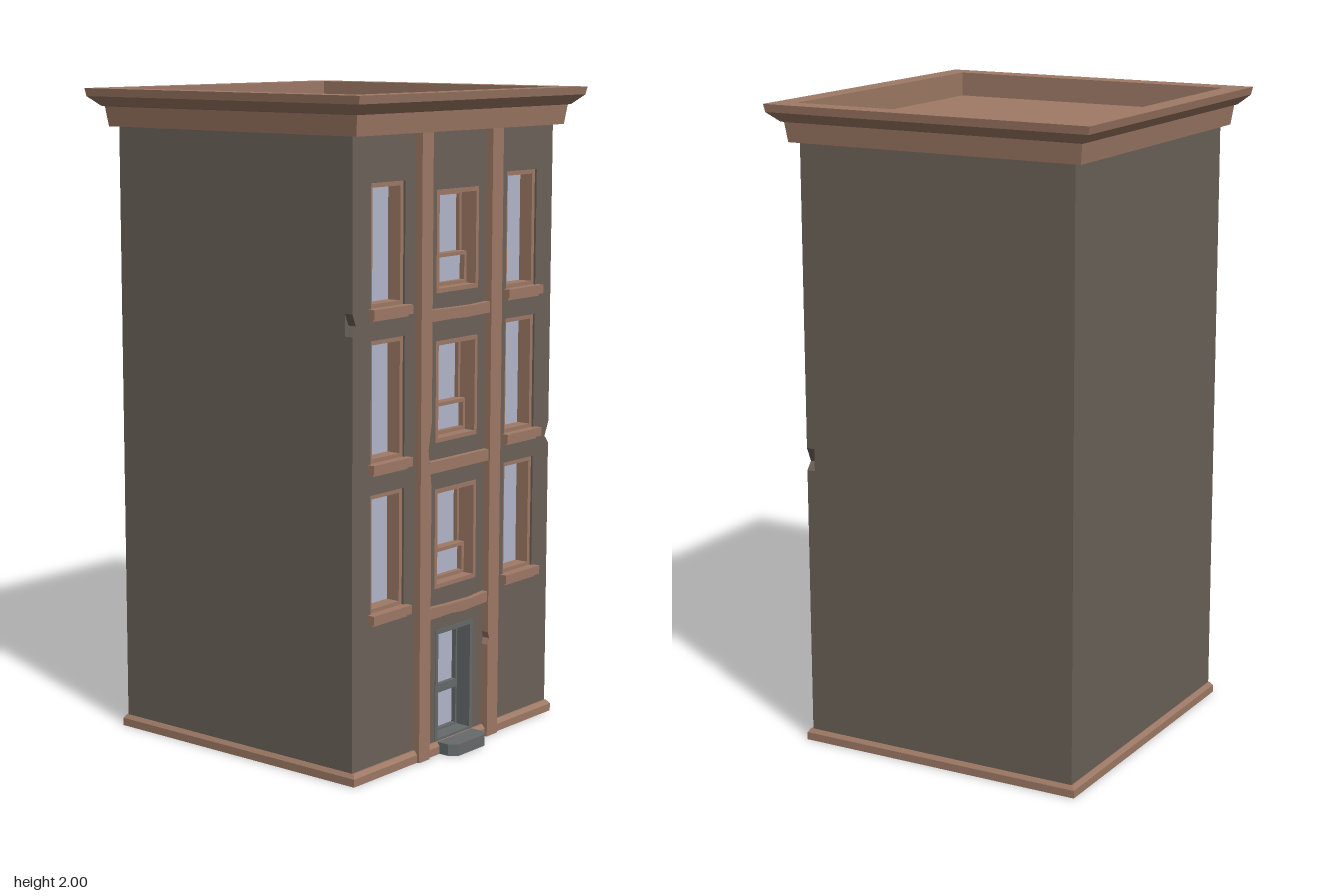
import * as THREE from 'three';

const mat = (color) => new THREE.MeshStandardMaterial({ color });
const wallMat = mat(0x6b6259), trimMat = mat(0x9f7a66);
const glassMat = mat(0xb2b7ca), doorMat = mat(0x666a6b);

const FRONT = 0.457, BACK = -0.46, HALF = 0.488;

function add(group, name, geometry, material) {
  const mesh = new THREE.Mesh(geometry, material);
  mesh.name = name;
  group.add(mesh);
  return mesh;
}

// Box given by its limits on each axis
function box(x0, x1, y0, y1, z0, z1) {
  return new THREE.BoxGeometry(x1 - x0, y1 - y0, z1 - z0)
    .translate((x0 + x1) / 2, (y0 + y1) / 2, (z0 + z1) / 2);
}

const polygon = (points) => points.map(([x, y]) => new THREE.Vector2(x, y));
const rect = (x0, x1, y0, y1) => polygon([[x0, y0], [x1, y0], [x1, y1], [x0, y1]]);

// Flat plate between z0 and z1, with optional holes
function plate(outline, holes, z0, z1) {
  const shape = new THREE.Shape(outline);
  shape.holes = holes.map((h) => new THREE.Path(h));
  return new THREE.ExtrudeGeometry(shape, { depth: z1 - z0, bevelEnabled: false }).translate(0, 0, z0);
}

// Rectangular picture-frame ring of border t
function ring(x0, x1, y0, y1, t, z0, z1) {
  return plate(rect(x0, x1, y0, y1), [rect(x0 + t, x1 - t, y0 + t, y1 - t)], z0, z1);
}

// Moulding swept around the rectangular plan: profile of [half x, half z, y]
function moulding(profile) {
  const corners = [[1, 1], [1, -1], [-1, -1], [-1, 1]];
  const pos = [];
  const at = ([hx, hz, y], [sx, sz]) => [hx * sx, y, hz * sz];
  for (let i = 0; i < profile.length - 1; i++) {
    for (let k = 0; k < 4; k++) {
      const c = corners[k], d = corners[(k + 1) % 4];
      const a = at(profile[i], c), b = at(profile[i], d);
      const e = at(profile[i + 1], d), f = at(profile[i + 1], c);
      pos.push(...a, ...b, ...e, ...a, ...e, ...f);
    }
  }
  const g = new THREE.BufferGeometry();
  g.setAttribute('position', new THREE.Float32BufferAttribute(pos, 3));
  g.computeVertexNormals();
  return g;
}

// Tall side window with a frame, glass and projecting sill
function sideWindow(cx, y0, y1) {
  const g = new THREE.Group();
  g.name = 'sideWindow';
  add(g, 'frame', ring(cx - 0.078, cx + 0.078, y0, y1, 0.014, 0.4, 0.45), trimMat);
  add(g, 'glass', box(cx - 0.07, cx + 0.07, y0 + 0.005, y1 - 0.005, 0.39, 0.405), glassMat);
  add(g, 'sill', box(cx - 0.09, cx + 0.09, y0 - 0.025, y0 + 0.002, 0.4, 0.48), trimMat);
  add(g, 'sillUnderside', box(cx - 0.08, cx + 0.08, y0 - 0.033, y0 - 0.025, 0.44, 0.468), trimMat);
  return g;
}

// Central sash window: deep frame, upper sash set behind the lower one
function sashWindow(y0, y1) {
  const g = new THREE.Group(), x = 0.103, mid = y0 + 0.105;
  g.name = 'sashWindow';
  add(g, 'frame', ring(-x, x, y0, y1, 0.013, 0.38, 0.46), trimMat);
  add(g, 'upperSash', ring(-0.09, 0.09, mid - 0.01, y1 - 0.013, 0.01, 0.38, 0.405), trimMat);
  add(g, 'lowerSash', ring(-0.09, 0.09, y0 + 0.013, mid + 0.005, 0.011, 0.385, 0.425), trimMat);
  add(g, 'upperGlass', box(-0.085, 0.085, mid - 0.005, y1 - 0.018, 0.378, 0.392), glassMat);
  add(g, 'lowerGlass', box(-0.085, 0.085, y0 + 0.018, mid, 0.39, 0.408), glassMat);
  return g;
}

export function createModel() {
  const model = new THREE.Group();
  model.name = 'building';
  const sideX = 0.327;
  const sideRows = [[0.495, 0.85], [0.94, 1.3], [1.39, 1.75]];
  const sashRows = [[0.515, 0.82], [0.962, 1.267], [1.41, 1.714]];

  // Openings in the front wall
  const holes = [rect(-0.094, 0.094, 0.03, 0.385)];
  for (const [y0, y1] of sideRows)
    for (const s of [-1, 1]) holes.push(rect(s * sideX - 0.078, s * sideX + 0.078, y0, y1));
  for (const [y0, y1] of sashRows) holes.push(rect(-0.103, 0.103, y0, y1));

  // Walls: solid rear, pierced front, and a thin face with chipped corners
  add(model, 'mainWalls', box(-HALF, HALF, 0.02, 1.92, BACK, 0.377), wallMat);
  add(model, 'frontWall', plate(rect(-HALF, HALF, 0.02, 1.9), holes, 0.377, 0.43), wallMat);
  const chipped = polygon([
    [-HALF, 0.02], [HALF, 0.02], [HALF, 0.88], [HALF - 0.02, 0.905], [HALF, 0.95],
    [HALF, 1.9], [-HALF, 1.9], [-HALF, 1.385], [-HALF + 0.015, 1.35], [-HALF, 1.32],
  ]);
  add(model, 'frontWallFace', plate(chipped, holes, 0.43, FRONT), wallMat);

  // Windows
  for (const [y0, y1] of sideRows)
    for (const s of [-1, 1]) model.add(sideWindow(s * sideX, y0, y1));
  for (const [y0, y1] of sashRows) model.add(sashWindow(y0, y1));

  // Pilasters, each worn on its inner edge
  add(model, 'rightPilaster', plate(polygon([
    [-0.2, 0], [-0.148, 0], [-0.148, 0.84], [-0.163, 0.95], [-0.148, 1.035], [-0.148, 1.9], [-0.2, 1.9],
  ]), [], 0.44, 0.481), trimMat);
  add(model, 'leftPilaster', plate(polygon([
    [0.143, 0], [0.197, 0], [0.197, 1.9], [0.143, 1.9], [0.143, 0.335], [0.15, 0.315], [0.143, 0.295],
  ]), [], 0.44, 0.481), trimMat);

  // Storey bands between the pilasters, slightly uneven
  [[0.43, 0.006], [0.876, 0], [1.33, 0.003]].forEach(([y, w]) => {
    add(model, 'storeyBand', plate(polygon([
      [-0.15, y], [-0.04, y + w * 0.3], [0.02, y - w * 0.5], [0.145, y + w * 0.4],
      [0.145, y + 0.035], [0.07, y + 0.035 - w], [-0.05, y + 0.035 - w * 0.6], [-0.15, y + 0.036],
    ]), [], 0.44, 0.476), trimMat);
  });

  // Door with two glass panels
  const door = new THREE.Group();
  door.name = 'door';
  add(door, 'doorFrame', ring(-0.094, 0.094, 0.03, 0.385, 0.014, 0.38, 0.459), doorMat);
  add(door, 'doorLeaf', plate(rect(-0.083, 0.083, 0.035, 0.376),
    [rect(-0.073, 0.073, 0.05, 0.164), rect(-0.073, 0.073, 0.19, 0.366)], 0.385, 0.41), doorMat);
  add(door, 'doorGlass', box(-0.08, 0.08, 0.04, 0.37, 0.38, 0.395), glassMat);
  model.add(door);

  // Doorstep: plan with cut front corners
  const step = plate(polygon([
    [-0.088, -0.44], [-0.088, -0.505], [-0.065, -0.53], [0.065, -0.53], [0.088, -0.505], [0.088, -0.44],
  ]), [], 0, 0.036).rotateX(-Math.PI / 2);
  add(model, 'doorstep', step, doorMat);

  // Plinth around the foot
  add(model, 'plinth', moulding([
    [0, 0, 0], [0.498, 0.473, 0], [0.498, 0.473, 0.024], [0.489, 0.464, 0.036], [0.4, 0.37, 0.036],
  ]), trimMat);

  // Cornice, parapet and sunken roof
  add(model, 'corniceAndRoof', moulding([
    [0, 0, 1.885], [0.506, 0.486, 1.885], [0.514, 0.494, 1.945], [0.522, 0.502, 1.947],
    [0.553, 0.533, 1.976], [0.556, 0.538, 2], [0.483, 0.468, 2], [0.483, 0.468, 1.925], [0, 0, 1.925],
  ]), trimMat);
  return model;
}
